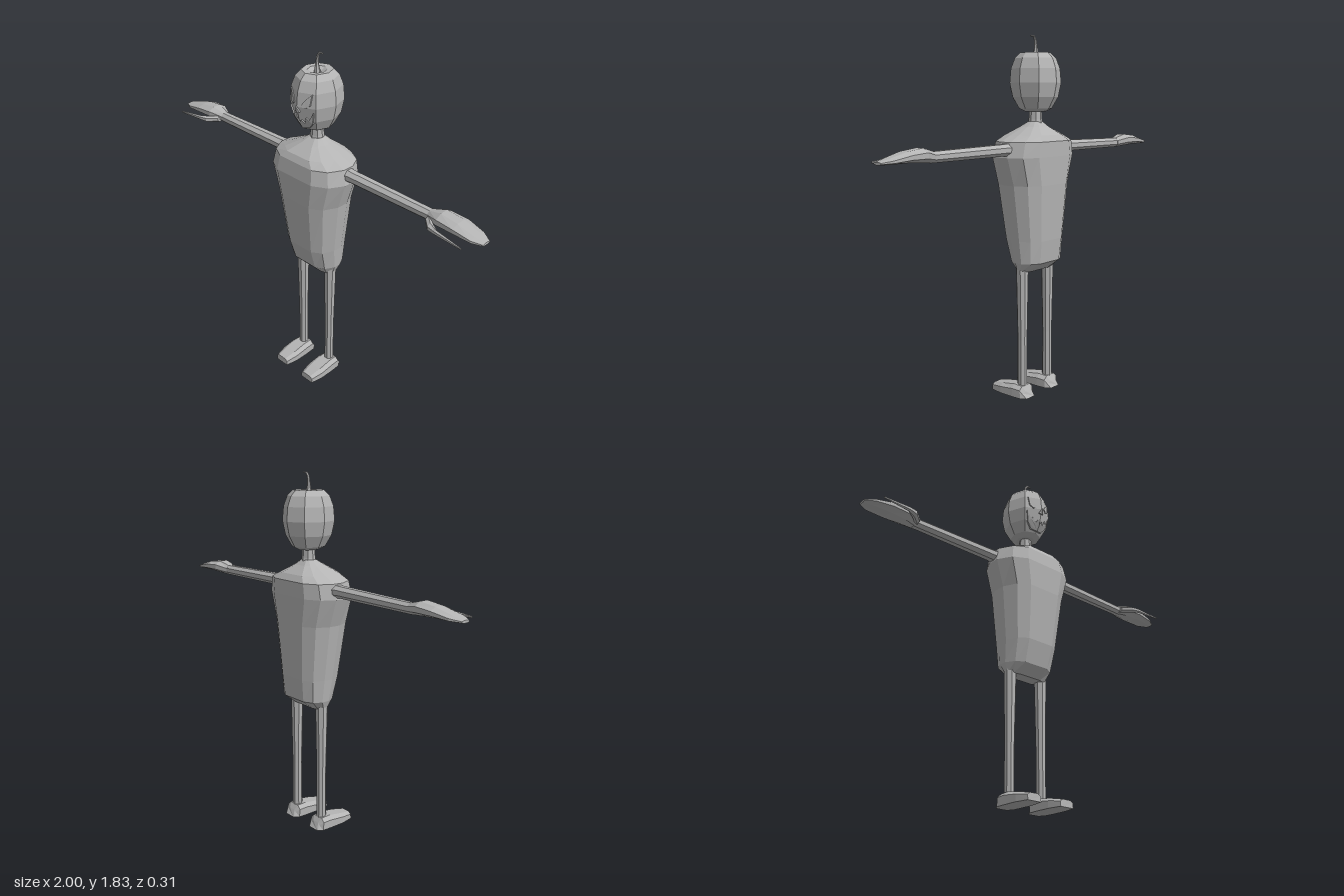
import * as THREE from 'three';

const grey = new THREE.MeshStandardMaterial({ color: 0xb4b4b4, flatShading: true });
grey.name = 'plain grey';

const ZC = -0.02; // depth of the body axis

// Closed skin through rings of equal length, capped at both ends, facing outwards.
function loft(rings) {
  const tris = [], n = rings[0].length, last = rings[rings.length - 1];
  for (let i = 0; i + 1 < rings.length; i++) {
    for (let j = 0; j < n; j++) {
      const k = (j + 1) % n, a = rings[i], b = rings[i + 1];
      tris.push([a[j], a[k], b[k]], [a[j], b[k], b[j]]);
    }
  }
  for (let j = 1; j + 1 < n; j++) {
    tris.push([rings[0][0], rings[0][j + 1], rings[0][j]], [last[0], last[j], last[j + 1]]);
  }
  const v = (p) => new THREE.Vector3(...p);
  const volume = tris.reduce((s, [a, b, c]) => s + v(a).dot(v(b).cross(v(c))), 0);
  if (volume < 0) tris.forEach((t) => t.reverse());
  const g = new THREE.BufferGeometry();
  g.setAttribute('position', new THREE.Float32BufferAttribute(tris.flat(2), 3));
  g.computeVertexNormals();
  return g;
}

// Ring of n points about c, with half-axes u and w.
function ring(c, u, w, n, turn = 0) {
  return Array.from({ length: n }, (_, i) => {
    const a = turn + (i / n) * Math.PI * 2;
    return c.map((q, k) => q + u[k] * Math.cos(a) + w[k] * Math.sin(a));
  });
}

function add(parent, name, geometry) {
  const m = new THREE.Mesh(geometry, grey);
  m.name = name;
  parent.add(m);
  return m;
}

// Head profile: height, radius
const HEAD = [[1.46, 0.05], [1.475, 0.078], [1.53, 0.108], [1.6, 0.122], [1.67, 0.116],
  [1.72, 0.098], [1.747, 0.072], [1.745, 0.045], [1.728, 0.02]];
const HEAD_DEPTH = 1.1;

// Depth of the head's front at (x, y), on its eight-sided surface.
function headFront(x, y) {
  let i = 0;
  while (i < 5 && HEAD[i + 1][0] < y) i++;
  const [y0, r0] = HEAD[i], [y1, r1] = HEAD[i + 1];
  const r = r0 + ((r1 - r0) * (y - y0)) / (y1 - y0);
  return ZC + HEAD_DEPTH * (r - Math.abs(x) * Math.tan(Math.PI / 8));
}

// Thin raised plate following the head
function facePlate(points, side, lift) {
  const shape = new THREE.Shape(points.map(([x, y]) => new THREE.Vector2(x * side, y)));
  const g = new THREE.ExtrudeGeometry(shape, { depth: lift, bevelEnabled: false });
  const p = g.attributes.position;
  for (let i = 0; i < p.count; i++) p.setZ(i, p.getZ(i) + headFront(p.getX(i), p.getY(i)) - 0.001);
  g.computeVertexNormals();
  return g;
}

export function createModel() {
  const model = new THREE.Group();
  model.name = 'figure';

  // Head, stem and carved face
  const head = new THREE.Group();
  head.name = 'head';
  model.add(head);
  add(head, 'skull', loft(HEAD.map(([y, r]) => ring([0, y, ZC], [r, 0, 0], [0, 0, r * HEAD_DEPTH], 8))));
  const stem = [[0, 1.72, 0.018, 0], [-0.003, 1.77, 0.009, 0], [0.002, 1.81, 0.007, -0.3],
    [0.014, 1.828, 0.006, -0.9], [0.036, 1.828, 0.004, -1.8]];
  add(head, 'stem', loft(stem.map(([x, y, r, t]) =>
    ring([x, y, ZC], [r * Math.cos(t), r * Math.sin(t), 0], [0, 0, r], 6))));
  const eye = [[0.068, 1.668], [0.062, 1.615], [0.042, 1.598], [0.024, 1.615], [0.04, 1.64]];
  const nose = [[0, 1.605], [0.014, 1.575], [0, 1.57]];
  const mouth = [[0.075, 1.58], [0.062, 1.52], [0.035, 1.488], [0, 1.48], [0, 1.515],
    [0.014, 1.535], [0.026, 1.515], [0.038, 1.55], [0.05, 1.535]];
  for (const s of [1, -1]) {
    add(head, 'eye', facePlate(eye, s, 0.007));
    add(head, 'nose', facePlate(nose, s, 0.009));
    add(head, 'mouth', facePlate(mouth, s, 0.009));
  }

  // Neck
  add(model, 'neck', loft([[1.38, 0.042], [1.42, 0.034], [1.48, 0.03]].map(([y, r]) =>
    ring([0, y, ZC], [r, 0, 0], [0, 0, r], 8))));

  // Torso: height, half width, front, back
  const half = [[0.5, 1], [0.82, 0.72], [1, 0.2], [1, -0.25], [0.84, -0.72], [0.52, -1]];
  const outline = [...half, ...half.map(([x, z]) => [-x, z]).reverse()];
  const torso = [[0.655, 0.125, 0.02, -0.05], [0.705, 0.142, 0.066, -0.115], [0.82, 0.152, 0.1, -0.127],
    [1.1, 0.187, 0.133, -0.142], [1.24, 0.232, 0.14, -0.146], [1.315, 0.215, 0.128, -0.146],
    [1.345, 0.15, 0.11, -0.125], [1.385, 0.07, 0.05, -0.075], [1.41, 0.035, 0.012, -0.05]];
  add(model, 'torso', loft(torso.map(([y, w, f, b]) =>
    outline.map(([x, z]) => [x * w, y, (f + b) / 2 + (z * (f - b)) / 2]))));

  // Ring across x for arms: x, y centre, half height, z centre, half depth
  const across = (s, n, turn) => ([x, y, h, z, d]) => ring([x * s, y, z], [0, h, 0], [0, 0, d], n, turn);

  for (const s of [1, -1]) {
    const arm = new THREE.Group();
    arm.name = s > 0 ? 'leftArm' : 'rightArm';
    model.add(arm);
    add(arm, 'sleeve', loft([[0.17, 1.278, 0.036, -0.018, 0.045], [0.25, 1.278, 0.031, -0.016, 0.036],
      [0.72, 1.273, 0.027, -0.017, 0.03]].map(across(s, 8, Math.PI / 8))));
    add(arm, 'hand', loft([[0.7, 1.273, 0.027, -0.018, 0.03], [0.77, 1.286, 0.034, -0.018, 0.06],
      [0.86, 1.283, 0.026, -0.018, 0.064], [0.95, 1.27, 0.014, -0.015, 0.053],
      [0.998, 1.264, 0.007, -0.013, 0.026]].map(across(s, 8, Math.PI / 8))));
    add(arm, 'thumb', loft([[0.71, 1.268, 0.015, 0.01, 0.022], [0.755, 1.268, 0.017, 0.055, 0.022],
      [0.8, 1.268, 0.013, 0.075, 0.01], [0.945, 1.26, 0.005, 0.09, 0.003]].map(across(s, 6, 0))));

    // Leg
    const leg = new THREE.Group();
    leg.name = s > 0 ? 'leftLeg' : 'rightLeg';
    model.add(leg);
    add(leg, 'shin', loft([[0.04, 0.024, 0.027], [0.3, 0.024, 0.026], [0.74, 0.034, 0.034]].map(([y, w, d]) =>
      ring([0.1 * s, y, -0.017], [w, 0, 0], [0, 0, d], 8, Math.PI / 8))));

    // Foot: z at the sole, z at the top, half width, height
    const foot = [[-0.072, -0.055, 0.032, 0.035], [-0.045, -0.04, 0.05, 0.06],
      [0.01, 0.01, 0.053, 0.063], [0.09, 0.09, 0.053, 0.05], [0.16, 0.158, 0.04, 0.036]];
    add(leg, 'foot', loft(foot.map(([z0, z1, w, h]) =>
      [[-w, 0, z0], [w, 0, z0], [w, h * 0.7, z1], [w * 0.6, h, z1], [-w * 0.6, h, z1], [-w, h * 0.7, z1]]
        .map(([x, y, z]) => [0.1 * s + x, y, z]))));
  }
  return model;
}
